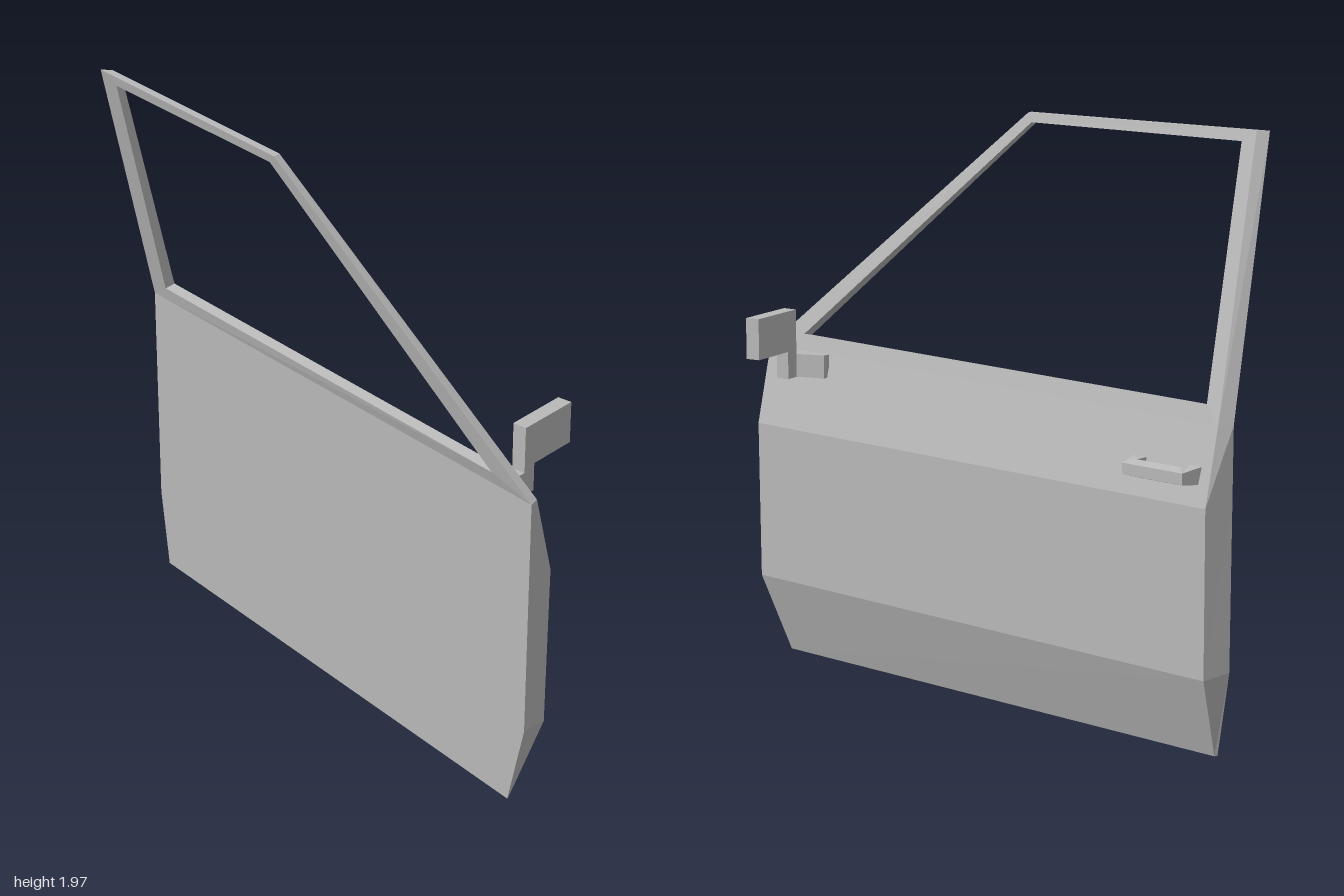
import * as THREE from 'three';

// Flat-faced geometry from a list of quads (counter-clockwise corners)
function quadGeometry(quads) {
  const pos = [];
  for (const [a, b, c, d] of quads) pos.push(...a, ...b, ...c, ...a, ...c, ...d);
  const geo = new THREE.BufferGeometry();
  geo.setAttribute('position', new THREE.Float32BufferAttribute(pos, 3));
  geo.computeVertexNormals();
  return geo;
}

// Prism from a plan outline of [x, z] points between two heights
function planPrism(points, y0, y1) {
  const shape = new THREE.Shape(points.map(([x, z]) => new THREE.Vector2(x, -z)));
  const geo = new THREE.ExtrudeGeometry(shape, { depth: y1 - y0, bevelEnabled: false });
  return geo.rotateX(-Math.PI / 2).translate(0, y0, 0);
}

export function createModel() {
  const group = new THREE.Group();
  const grey = new THREE.MeshStandardMaterial({ color: 0xb8b8b8, flatShading: true });
  grey.name = 'door grey';
  const add = (name, geo, parent = group) => {
    const mesh = new THREE.Mesh(geo, grey);
    mesh.name = name;
    parent.add(mesh);
  };

  // Rows of the lower door: inner left, inner right, outer right, outer left
  const rows = [
    [[-0.96, 0.01, 0.065], [0.93, 0, 0.065], [0.925, 0, 0.055], [-0.955, 0.01, 0.055]],
    [[-1, 0.29, 0.065], [1, 0.29, 0.065], [0.98, 0.28, -0.035], [-0.975, 0.28, -0.035]],
    [[-1, 0.83, 0.065], [1, 0.83, 0.065], [0.98, 0.83, -0.04], [-0.975, 0.83, -0.04]],
    [[-1, 1.08, 0.065], [1, 1.1, 0.065], [0.985, 1.1, 0.03], [-0.97, 1.08, 0.025]],
  ];
  const panel = [[rows[0][3], rows[0][2], rows[0][1], rows[0][0]]];
  for (let r = 0; r < 3; r++) {
    for (let i = 0; i < 4; i++) {
      const j = (i + 1) % 4;
      panel.push([rows[r][i], rows[r][j], rows[r + 1][j], rows[r + 1][i]]);
    }
  }
  add('doorPanel', quadGeometry(panel));

  // Window frame leaning inwards: outline and opening on both faces
  const [il, ir, or, ol] = rows[3];
  const outlineIn = [il, ir, [0, 1.96, 0.276], [-0.96, 1.965, 0.278]];
  const outlineOut = [ol, or, [-0.01, 1.96, 0.248], [-0.93, 1.965, 0.25]];
  const innerZ = (y) => 0.065 + 0.243 * (y - 1.085);
  const outerZ = (y) => -0.04 + 0.256 * (y - 0.83);
  const hole = [[-0.915, 1.13], [0.83, 1.145], [-0.03, 1.93], [-0.88, 1.93]];
  const holeIn = hole.map(([x, y]) => [x, y, innerZ(y)]);
  const holeOut = hole.map(([x, y], i) => {
    const yo = i < 2 ? y + 0.008 : y;
    return [x, yo, outerZ(yo)];
  });
  const frame = [];
  for (let i = 0; i < 4; i++) {
    const j = (i + 1) % 4;
    frame.push([outlineIn[i], outlineIn[j], holeIn[j], holeIn[i]]);
    frame.push([outlineOut[j], outlineOut[i], holeOut[i], holeOut[j]]);
    frame.push([holeIn[i], holeIn[j], holeOut[j], holeOut[i]]);
    if (i > 0) frame.push([outlineIn[i], outlineOut[i], outlineOut[j], outlineIn[j]]);
  }
  add('windowFrame', quadGeometry(frame));

  // Wing mirror: foot on the door, short stem and slanted head
  const mirror = new THREE.Group();
  mirror.name = 'wingMirror';
  group.add(mirror);
  add('mirrorFoot', planPrism([[0.69, 0.02], [0.845, 0.02], [0.833, -0.05], [0.823, -0.1],
    [0.773, -0.095], [0.783, -0.045], [0.69, -0.005]], 1.02, 1.1), mirror);
  add('mirrorStem', planPrism([[0.783, -0.045], [0.833, -0.052], [0.823, -0.1],
    [0.773, -0.095]], 1.1, 1.115), mirror);
  add('mirrorHead', planPrism([[0.783, -0.045], [0.833, -0.052], [0.785, -0.28],
    [0.735, -0.27]], 1.115, 1.255), mirror);

  // Pull handle, narrowed in height towards its outer face
  const handle = planPrism([[-0.935, -0.01], [-0.888, -0.01], [-0.888, -0.055], [-0.72, -0.055],
    [-0.72, -0.01], [-0.67, -0.01], [-0.685, -0.087], [-0.92, -0.087]], 0.895, 0.952);
  const p = handle.attributes.position;
  for (let i = 0; i < p.count; i++) {
    if (p.getZ(i) < -0.08) p.setY(i, 0.923 + (p.getY(i) - 0.923) * 0.65);
  }
  handle.computeVertexNormals();
  add('doorHandle', handle);

  return group;
}
